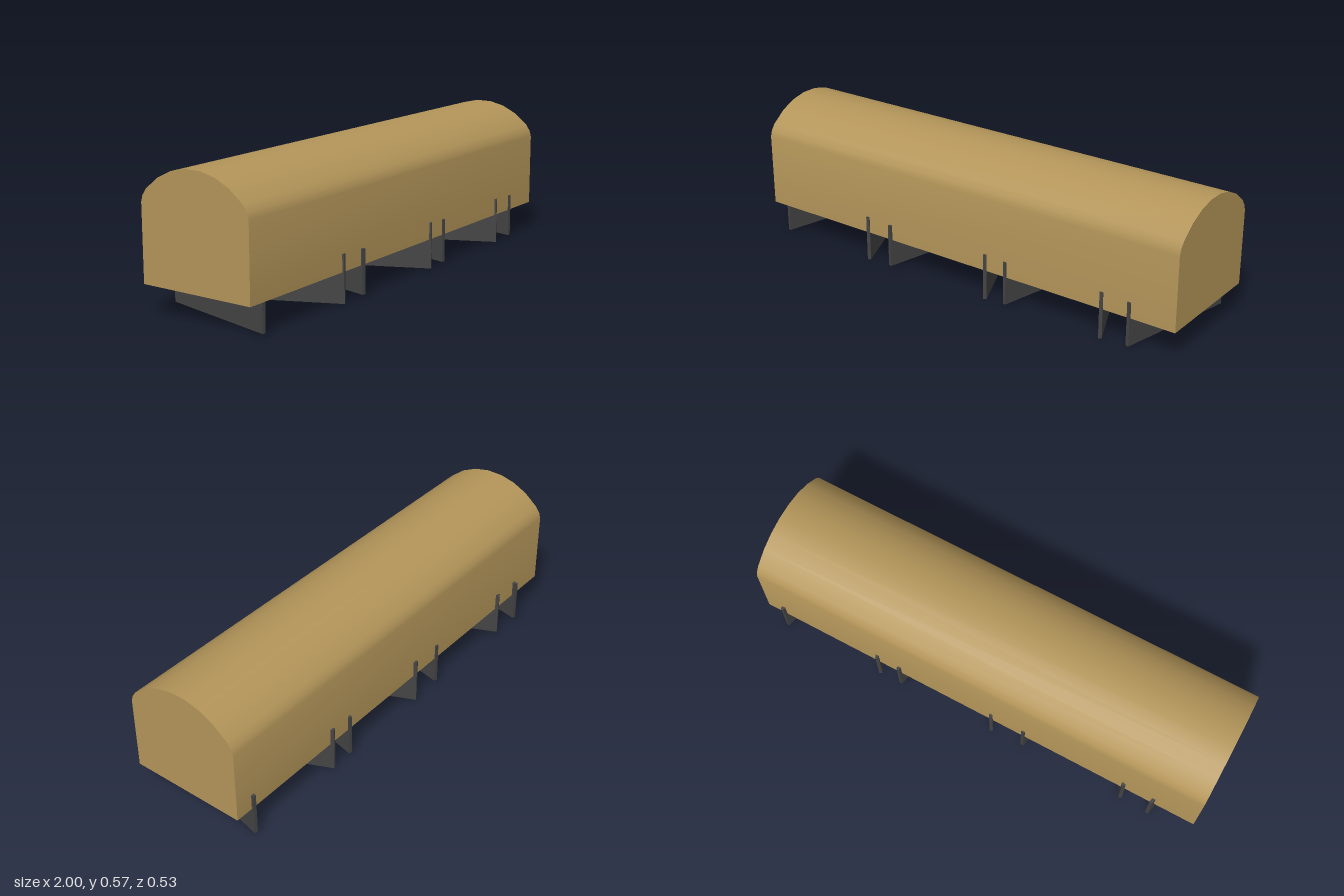
import * as THREE from 'three';
import { toCreasedNormals } from 'three/addons/utils/BufferGeometryUtils.js';

const tan = new THREE.MeshStandardMaterial({ color: 0xb39559 });
const dark = new THREE.MeshStandardMaterial({ color: 0x444444 });

// Long body with an arched roof: half profile mirrored, extruded along x
function makeBody() {
  const half = [[0.248, 0.122], [0.248, 0.427], [0.241, 0.452], [0.223, 0.478],
    [0.164, 0.525], [0.101, 0.555], [0.035, 0.57]];
  const mirrored = half.map(([w, y]) => [-w, y]).reverse();
  const shape = new THREE.Shape([...half, ...mirrored].map(([w, y]) => new THREE.Vector2(w, y)));
  const geometry = new THREE.ExtrudeGeometry(shape, { depth: 2, bevelEnabled: false });
  geometry.translate(0, 0, -1).rotateY(Math.PI / 2);
  const body = new THREE.Mesh(toCreasedNormals(geometry, Math.PI / 4), tan);
  body.name = 'archedBody';
  body.position.z = 0.0045;
  return body;
}

// Thin upright plate crossing under the body; dx is its sideways run from back to front
function makePlate(name, x, z, dx, bottom, top) {
  const run = 0.512;
  const plate = new THREE.Mesh(
    new THREE.BoxGeometry(0.014, top - bottom, Math.hypot(dx, run)), dark);
  plate.name = name;
  plate.position.set(x, (bottom + top) / 2, z);
  plate.rotation.y = Math.atan2(dx, run);
  return plate;
}

export function createModel() {
  const model = new THREE.Group();
  model.name = 'archedBodyOnPlates';
  model.add(makeBody());

  // Gently slanted plates
  [[-0.868, -0.006], [-0.28, 0.006], [0.302, 0.002], [0.862, 0.001]].forEach(([x, z], i) =>
    model.add(makePlate(`supportPlate${i + 1}`, x, z, -0.113, 0.007, 0.188)));

  // Strongly slanted plates, leaning the other way
  [-0.57, 0.036, 0.573].forEach((x, i) =>
    model.add(makePlate(`crossPlate${i + 1}`, x, 0.002, 0.232, 0, 0.193)));

  return model;
}
